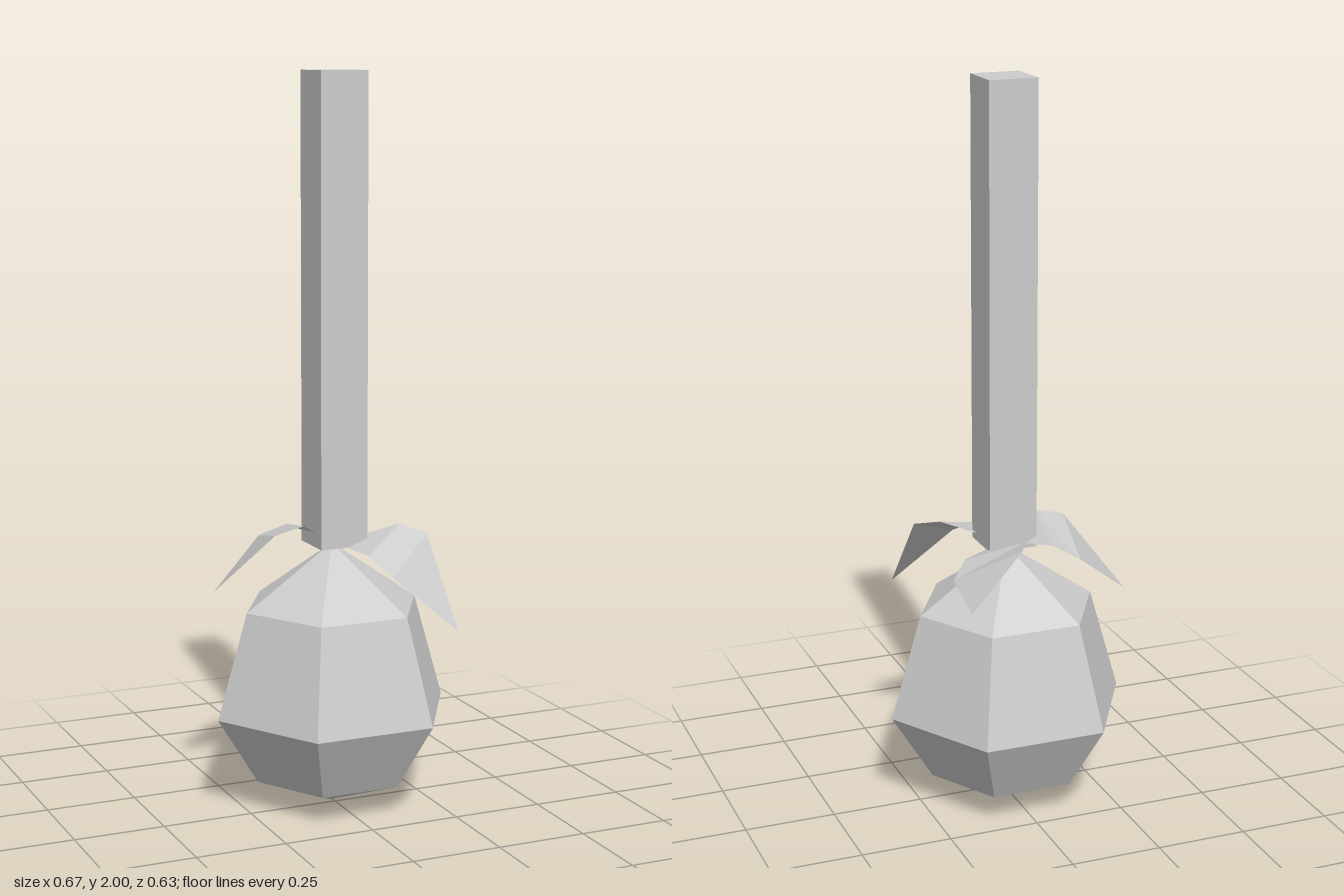
import * as THREE from 'three';

const grey = new THREE.MeshStandardMaterial({ color: 0xcccccc, flatShading: true, side: THREE.DoubleSide });
grey.name = 'light grey';

// Leaf folded from five triangles: base point, two points down each side, and a tip.
// foldLeft picks which way the middle quad is split.
function makeLeaf(name, [l1, l2, tip, r2, r1], foldLeft) {
  const base = [0, 0.735, 0];
  const middle = foldLeft ? [l1, l2, r1, l2, r2, r1] : [l1, l2, r2, l1, r2, r1];
  const corners = [base, l1, r1, ...middle, l2, tip, r2];
  // the sides run clockwise seen from above, so reverse to face up
  const geometry = new THREE.BufferGeometry();
  geometry.setAttribute('position', new THREE.Float32BufferAttribute(corners.reverse().flat(), 3));
  geometry.computeVertexNormals();
  const leaf = new THREE.Mesh(geometry, grey);
  leaf.name = name;
  return leaf;
}

export function createModel() {
  const model = new THREE.Group();
  model.name = 'hangingFruit';

  // Six-sided fruit body
  const profile = [[0, 0.003], [0.22, 0.082], [0.335, 0.27], [0.25, 0.56], [0, 0.733]]
    .map(([r, y]) => new THREE.Vector2(r, y));
  const fruit = new THREE.Mesh(new THREE.LatheGeometry(profile, 6, Math.PI / 6), grey);
  fruit.name = 'fruit';
  fruit.position.z = -0.021;
  model.add(fruit);

  // Square stem
  const stem = new THREE.Mesh(new THREE.BoxGeometry(0.135, 1.265, 0.135), grey);
  stem.name = 'stem';
  stem.position.set(-0.001, 1.3675, -0.002);
  model.add(stem);

  // Three leaves drooping from the foot of the stem
  model.add(
    makeLeaf('backLeaf', [
      [0.012, 0.795, -0.18], [0.045, 0.8, -0.253], [0.21, 0.67, -0.316],
      [0.19, 0.69, -0.122], [0.138, 0.725, -0.068]], false),
    makeLeaf('frontLeaf', [
      [0.16, 0.79, 0.068], [0.213, 0.77, 0.13], [0.219, 0.54, 0.314],
      [0.055, 0.69, 0.255], [0.02, 0.735, 0.175]], false),
    makeLeaf('rightLeaf', [
      [-0.11, 0.8, 0.042], [-0.19, 0.78, 0.037], [-0.308, 0.6, -0.122],
      [-0.145, 0.73, -0.195], [-0.078, 0.765, -0.155]], false)
  );

  return model;
}
